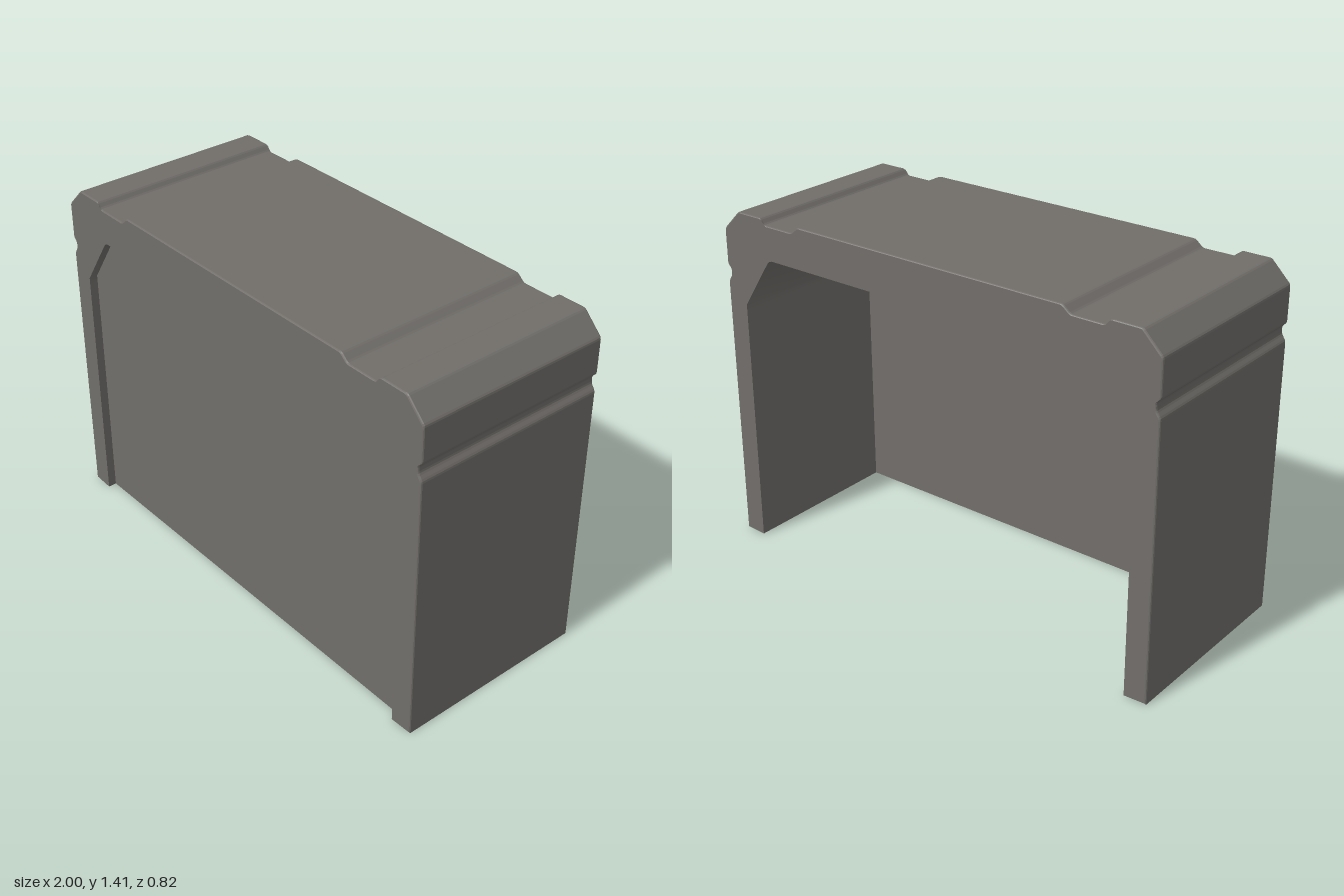
import * as THREE from 'three';
import { toCreasedNormals } from 'three/addons/utils/BufferGeometryUtils.js';

const material = new THREE.MeshStandardMaterial({ color: 0x716e6a, side: THREE.DoubleSide });

// Right half of the outer profile, from the foot to the top
const outerHalf = [
  [1, 0], [1, 1.11], [0.983, 1.135], [0.983, 1.165], [1, 1.18], [1, 1.325],
  [0.92, 1.405], [0.8, 1.405], [0.78, 1.38], [0.64, 1.38], [0.607, 1.408],
];
// Right half of the opening, from the foot to the top
const innerHalf = [[0.907, 0], [0.907, 1], [0.907, 1.03], [0.775, 1.228], [0.765, 1.238], [0.75, 1.243]];

// Whole path, over the top from the right foot to the left foot
const arch = (half) => [...half, ...half.map(([x, y]) => [-x, y]).reverse()];
const mix = (a, b, t) => [a[0] + (b[0] - a[0]) * t, a[1] + (b[1] - a[1]) * t];

// Replace every corner of a path by a small rounding
function rounded(path, radius) {
  return path.flatMap((p, i) => {
    if (i === 0 || i === path.length - 1) return [p];
    const toward = (q) => mix(p, q, radius / Math.hypot(q[0] - p[0], q[1] - p[1]));
    const start = toward(path[i - 1]);
    const end = toward(path[i + 1]);
    return [start, mix(mix(start, end, 0.5), p, 0.5), end];
  });
}

// Shrink a path slightly about the middle of the front
const inset = (path, amount) => path.map((p) => mix(p, [0, 0.704], amount));

function part(name, geometry) {
  const mesh = new THREE.Mesh(geometry, material);
  mesh.name = name;
  return mesh;
}

// Skin stretched through sections [z, inset] of one path
function skin(name, path, sections, crease) {
  const positions = sections.flatMap(([z, amount]) => inset(path, amount).flatMap(([x, y]) => [x, y, z]));
  const index = [];
  const n = path.length;
  for (let s = 0; s < sections.length - 1; s++) {
    for (let i = 0; i < n - 1; i++) {
      const a = s * n + i;
      index.push(a, a + 1, a + n + 1, a, a + n + 1, a + n);
    }
  }
  const geometry = new THREE.BufferGeometry();
  geometry.setAttribute('position', new THREE.Float32BufferAttribute(positions, 3));
  geometry.setIndex(index);
  return part(name, toCreasedNormals(geometry, crease));
}

// Flat face at depth z, turned to the front or to the back
function face(name, points, z, toBack) {
  const geometry = new THREE.ShapeGeometry(new THREE.Shape(points.map((p) => new THREE.Vector2(...p))));
  if (toBack) geometry.rotateY(Math.PI);
  geometry.translate(0, 0, z);
  return part(name, geometry);
}

export function createModel() {
  const group = new THREE.Group();
  group.name = 'housing';
  const outer = rounded(arch(outerHalf), 0.008);
  const inner = arch(innerHalf);

  // Outer walls and stepped roof, with softened front and back edges
  const edge = [[0.404, 0], [0.408, 0.002], [0.41, 0.006]];
  const sections = [...edge.map(([z, k]) => [-z, k]).reverse(), ...edge];
  group.add(skin('outerShell', outer, sections, 0.05));

  // Rims around the opening
  const rim = [...inset(outer, 0.006), ...inner.slice().reverse()];
  group.add(face('frontRim', rim, 0.41, false));
  group.add(face('backRim', rim, -0.41, true));

  // Lining of the shallow front recess and of the deep space behind it
  group.add(skin('recessLining', inner, [[0.41, 0], [0.375, 0]], 0.65));
  group.add(skin('innerLining', inner, [[0.285, 0], [-0.41, 0]], 0.65));

  // Both faces of the front panel; the walls are hollow and open underneath
  group.add(face('panelFront', inner, 0.375, false));
  group.add(face('panelBack', inner, 0.285, true));
  return group;
}
